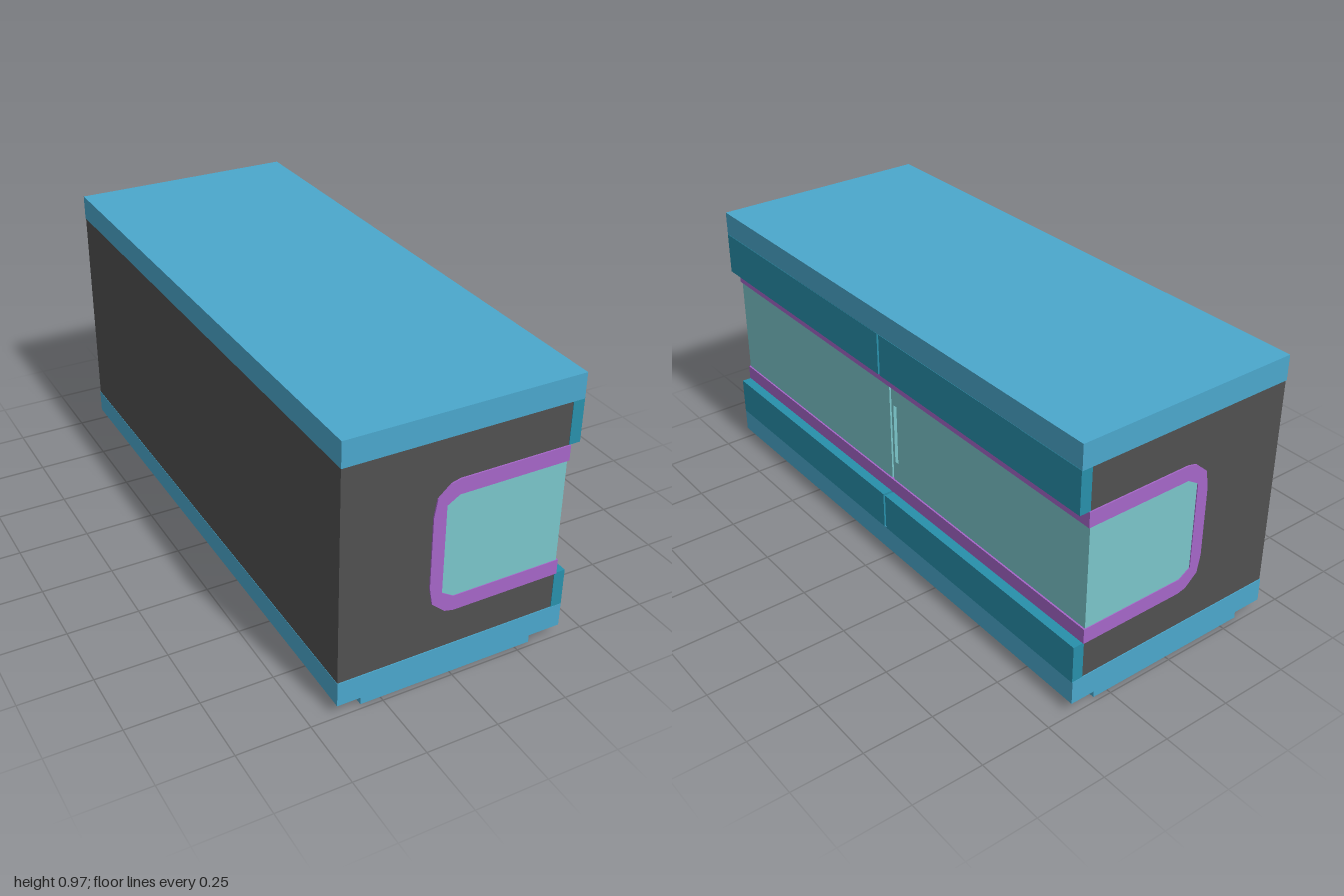
import * as THREE from 'three';

const mat = (color) => new THREE.MeshStandardMaterial({ color });
const MID = 0.4985; // height of the window band's centre line

export function createModel() {
  const root = new THREE.Group();
  const blue = mat(0x4ba7cc), teal = mat(0x2890ab), purple = mat(0xa566c8);
  const glass = mat(0x7ac5ca), dark = mat(0x505050);

  const add = (name, geometry, material) => {
    const mesh = new THREE.Mesh(geometry, material);
    mesh.name = name;
    root.add(mesh);
    return mesh;
  };
  // Box given by its limits on each axis
  const box = (name, material, x0, x1, y0, y1, z0, z1) =>
    add(name, new THREE.BoxGeometry(x1 - x0, y1 - y0, z1 - z0), material)
      .position.set((x0 + x1) / 2, (y0 + y1) / 2, (z0 + z1) / 2);
  const shapeOf = (pts) => new THREE.Shape(pts.map(([x, y]) => new THREE.Vector2(x, y)));
  const extrude = (shape, depth) =>
    new THREE.ExtrudeGeometry(shape, { depth, bevelEnabled: false });
  // Completes an upper half outline with its reflection in the centre line
  const mirrored = (pts) => [...pts, ...pts.map(([x, y]) => [x, 2 * MID - y]).reverse()];

  // Slabs and plinth
  box('topSlab', blue, -0.41, 0.409, 0.886, 0.974, -0.998, 0.998);
  box('bottomSlab', blue, -0.41, 0.409, 0.042, 0.128, -0.998, 0.998);
  box('plinth', blue, -0.32, 0.305, 0, 0.042, -0.983, 0.983);

  // Cabinet body, stepped back behind the sliding doors
  box('body', dark, -0.409, 0.34, 0.128, 0.886, -0.995, 0.995);
  box('upperBodyFront', dark, 0.34, 0.37, 0.71, 0.886, -0.995, 0.995);
  box('lowerBodyFront', dark, 0.34, 0.37, 0.128, 0.287, -0.995, 0.995);

  // U-shaped trim running the whole length, edging the doors and end windows
  const outer = mirrored([[0.375, 0.736], [-0.013, 0.736], [-0.045, 0.728], [-0.09, 0.688], [-0.101, 0.625]]);
  const inner = mirrored([[0.375, 0.682], [-0.015, 0.682], [-0.057, 0.656]]);
  add('windowTrim', extrude(shapeOf([...outer, ...inner.reverse()]), 2), purple).position.z = -1;

  // End windows
  const pane = shapeOf(mirrored([[0.355, 0.69], [-0.02, 0.69], [-0.065, 0.66]]));
  for (const z of [0.98, -0.997])
    add('endWindow', extrude(pane, 0.017), glass).position.z = z;

  for (const s of [-1, 1]) {
    const span = (a, b) => (s > 0 ? [a, b] : [-b, -a]);
    const [z0, z1] = span(0.005, 0.997);

    // Fascia panels above and below the doors
    box('upperFascia', teal, 0.37, 0.41, 0.737, 0.888, z0, z1);
    box('lowerFascia', teal, 0.37, 0.41, 0.126, 0.262, z0, z1);

    // Door with a recessed finger pull: pierced front over a backing sheet
    box('doorBacking', glass, 0.338, 0.35, 0.31, 0.69, z0, z1);
    const rect = ([a, b], y0, y1) => [[-a, y0], [-b, y0], [-b, y1], [-a, y1]];
    const face = shapeOf(rect([z0, z1], 0.31, 0.69));
    face.holes.push(shapeOf(rect(span(0.016, 0.06), 0.39, 0.615)));
    const door = add('door', extrude(face, 0.019), glass);
    door.rotation.y = Math.PI / 2;
    door.position.x = 0.35;
  }
  return root;
}
